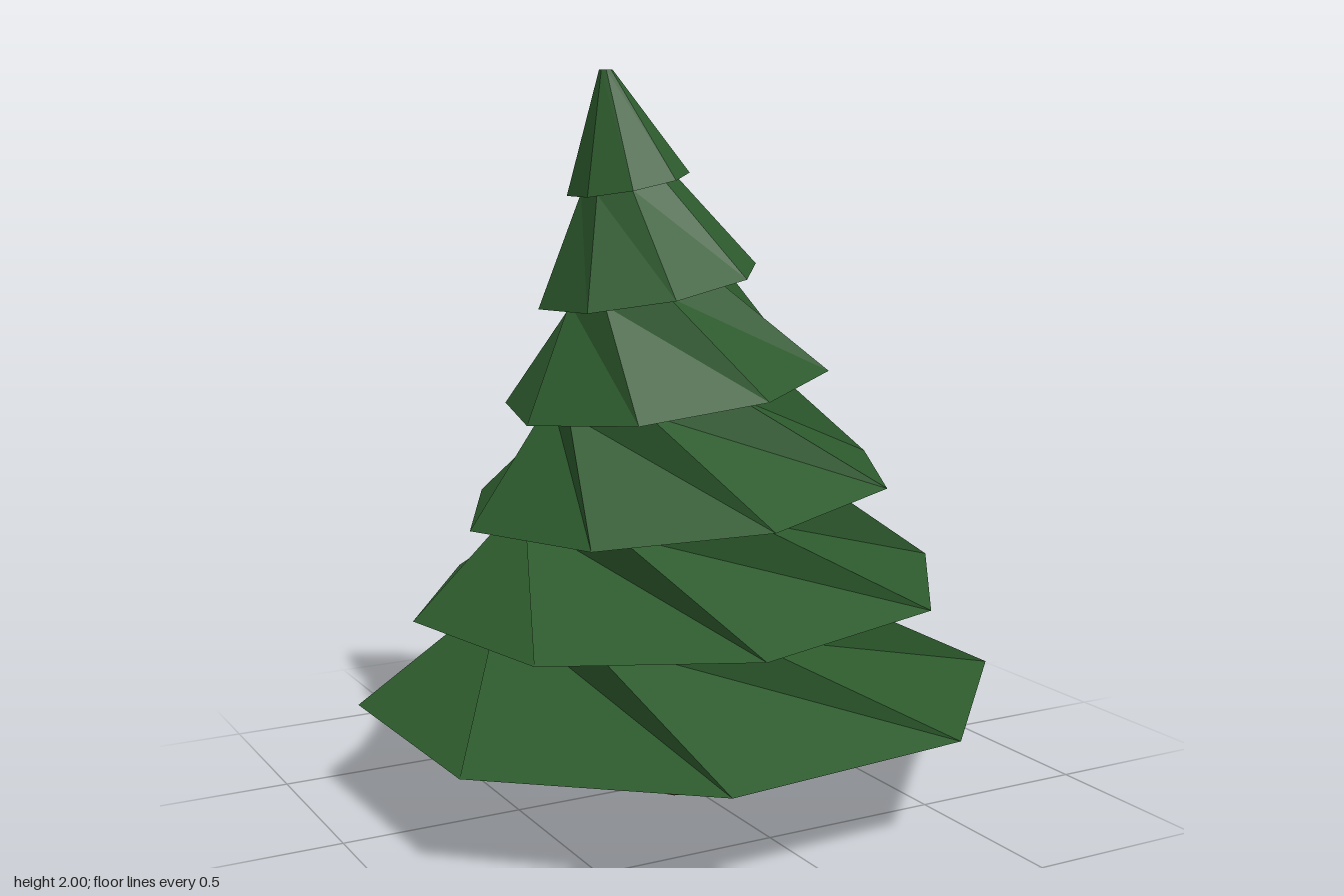
import * as THREE from 'three';

const SIDES = 8;

// Octagonal ring: centre x, height, radius, start angle (degrees), rise along x, z squash
function ring({ x, y, r, angle, slope = 0, squash = 1 }, scale = 1) {
  return Array.from({ length: SIDES }, (_, i) => {
    const a = THREE.MathUtils.degToRad(angle + (i * 360) / SIDES);
    const dx = Math.cos(a) * r * scale;
    return new THREE.Vector3(x + dx, y + slope * dx, Math.sin(a) * r * scale * squash);
  });
}

function centre(points) {
  return points.reduce((sum, p) => sum.add(p), new THREE.Vector3()).divideScalar(points.length);
}

// Closed, faceted solid between two rings
function loft(bottom, top) {
  const corners = [];
  const cb = centre(bottom), ct = centre(top);
  for (let i = 0; i < SIDES; i++) {
    const j = (i + 1) % SIDES;
    corners.push(bottom[i], top[i], top[j]);
    corners.push(bottom[i], top[j], bottom[j]);
    corners.push(cb, bottom[i], bottom[j]);
    corners.push(ct, top[j], top[i]);
  }
  const geometry = new THREE.BufferGeometry().setFromPoints(corners);
  geometry.computeVertexNormals();
  return geometry;
}

export function createModel() {
  const tree = new THREE.Group();
  tree.name = 'pineTree';
  const leaf = new THREE.MeshStandardMaterial({ color: 0x2d5a2d, flatShading: true });
  const bark = new THREE.MeshStandardMaterial({ color: 0x5c3a28, flatShading: true });

  const add = (name, geometry, material) => {
    const mesh = new THREE.Mesh(geometry, material);
    mesh.name = name;
    tree.add(mesh);
  };

  // Tapered trunk, running up into the lowest tier
  add('trunk', loft(
    ring({ x: 0.02, y: 0.005, r: 0.16, angle: 36, squash: 0.82 }),
    ring({ x: 0.005, y: 0.32, r: 0.09, angle: 36, squash: 0.85 })
  ), bark);

  // Branch tiers: the rims lean, twist and shift as they climb; neck is how far
  // the tier below narrows relative to this rim
  const rims = [
    { x: 0, y: 0.293, r: 0.9, angle: 20.5, slope: 0.03 },
    { x: 0, y: 0.575, r: 0.752, angle: 57, slope: 0.06, neck: 0.69 },
    { x: -0.01, y: 0.855, r: 0.603, angle: 94, slope: 0.108, neck: 0.74 },
    { x: -0.045, y: 1.145, r: 0.45, angle: 126.5, slope: 0.146, neck: 0.71 },
    { x: -0.095, y: 1.425, r: 0.304, angle: 149, slope: 0.19, neck: 0.72 },
    { x: -0.155, y: 1.7, r: 0.165, angle: 157.5, slope: 0.2, neck: 0.77 },
    { x: -0.22, y: 2, r: 0.018, angle: 157.5, neck: 1 },
  ];
  for (let i = 0; i < rims.length - 1; i++) {
    const next = rims[i + 1];
    add(`branchTier${i + 1}`, loft(ring(rims[i]), ring(next, next.neck)), leaf);
  }
  return tree;
}
